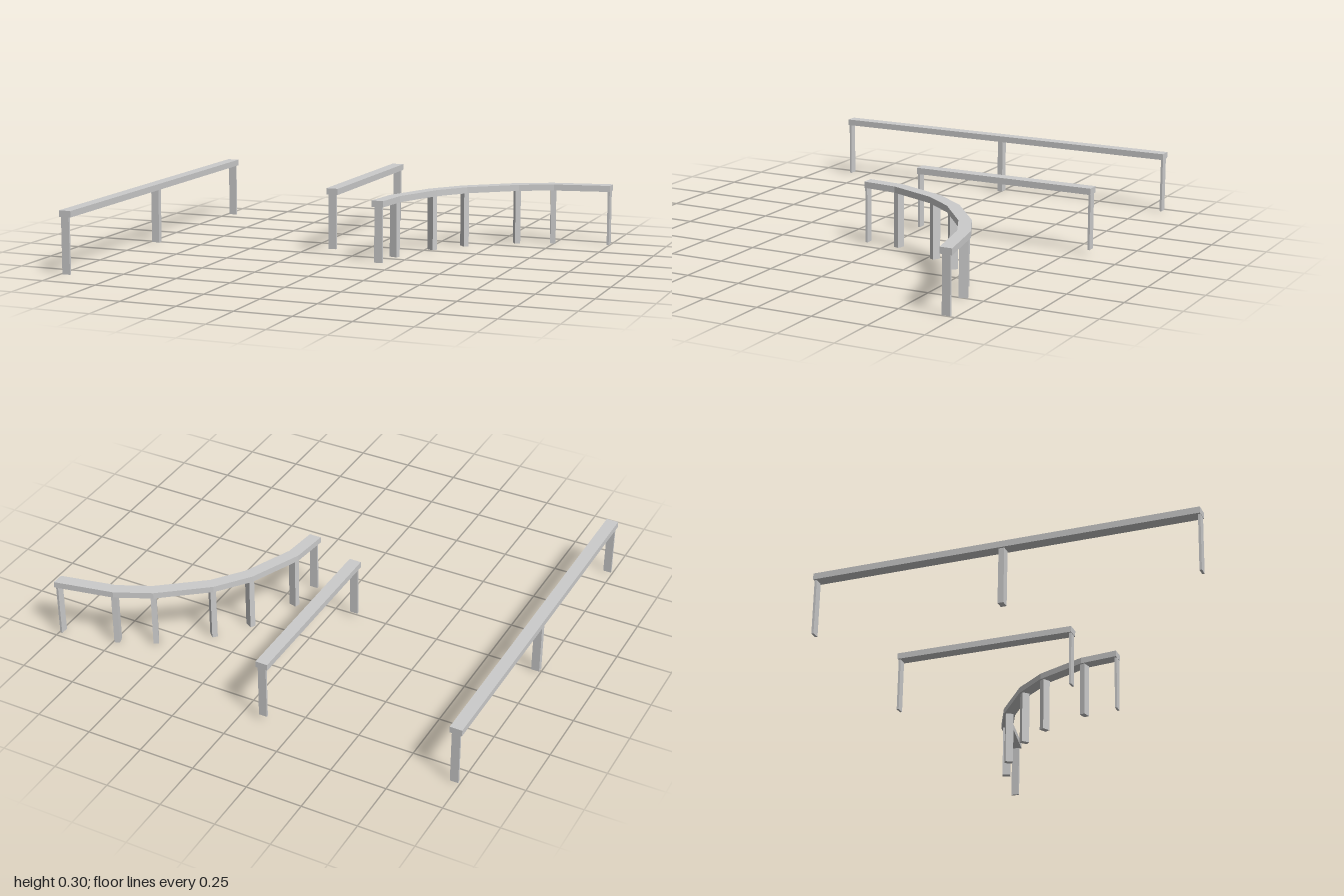
import * as THREE from 'three';

const material = new THREE.MeshStandardMaterial({ color: 0xcccccc, flatShading: true });
const POST_WIDTH = 0.037, END_DEPTH = 0.01, MID_DEPTH = 0.025;
const RAIL_WIDTH = 0.055, RAIL_HEIGHT = 0.028;

// Upright post from y0 to y1; angle turns its depth axis to follow the rail
function post(parent, name, x, z, y0, y1, depth, angle = 0) {
  const mesh = new THREE.Mesh(new THREE.BoxGeometry(POST_WIDTH, y1 - y0, depth), material);
  mesh.name = name;
  mesh.position.set(x, (y0 + y1) / 2, z);
  mesh.rotation.y = angle;
  parent.add(mesh);
}

// Straight handrail along z with thin posts at its ends
function straightRail(name, x, zBack, zFront, yBase, yRail, postsZ) {
  const group = new THREE.Group();
  group.name = name;
  const rail = new THREE.Mesh(new THREE.BoxGeometry(RAIL_WIDTH, RAIL_HEIGHT, zFront - zBack), material);
  rail.name = 'topRail';
  rail.position.set(x, yRail + RAIL_HEIGHT / 2, (zBack + zFront) / 2);
  group.add(rail);
  postsZ.forEach(([z, depth]) => post(group, 'post', x, z, yBase, yRail, depth));
  return group;
}

// Curved handrail: mitred segments with a post at every joint
function curvedRail() {
  const group = new THREE.Group();
  group.name = 'curvedRail';
  const yRail = 0.248;
  const path = [
    [0.163, 0.112], [0.182, -0.056], [0.278, -0.284], [0.385, -0.425],
    [0.586, -0.583], [0.738, -0.655], [0.998, -0.708],
  ].map(([x, z]) => new THREE.Vector2(x, z));
  const last = path.length - 1;

  // Direction of travel and mitre offset at each point; ends are cut square to the axes
  const joints = path.map((p, i) => {
    const a = path[Math.max(i - 1, 0)], b = path[Math.min(i + 1, last)];
    const before = p.clone().sub(a).normalize(), after = b.clone().sub(p).normalize();
    const dir = before.clone().add(after).normalize();
    const side = new THREE.Vector2(-dir.y, dir.x);
    const cos = i === 0 || i === last ? 1 : dir.dot(after);
    if (i === 0) side.set(1, 0);
    if (i === last) side.set(0, 1);
    return { p, dir, side: side.multiplyScalar(RAIL_WIDTH / 2 / cos) };
  });

  const left = joints.map(({ p, side }) => p.clone().sub(side));
  const right = joints.map(({ p, side }) => p.clone().add(side));
  const outline = [...left, ...right.reverse()].map((p) => new THREE.Vector2(p.x, -p.y));
  const geometry = new THREE.ExtrudeGeometry(new THREE.Shape(outline), { depth: RAIL_HEIGHT, bevelEnabled: false });
  geometry.rotateX(-Math.PI / 2);
  const rail = new THREE.Mesh(geometry, material);
  rail.name = 'topRail';
  rail.position.y = yRail;
  group.add(rail);

  // Joint posts turn with the rail; end posts are thin and square to the axes
  joints.forEach(({ p, dir }, i) => {
    if (i === 0) post(group, 'endPost', p.x + 0.004, p.y - 0.006, 0, yRail, END_DEPTH);
    else if (i === last) post(group, 'endPost', p.x - 0.008, p.y, 0, yRail, END_DEPTH, Math.PI / 2);
    else post(group, 'jointPost', p.x, p.y, 0, yRail, MID_DEPTH, Math.atan2(dir.x, dir.y));
  });
  return group;
}

export function createModel() {
  const model = new THREE.Group();
  model.name = 'handrails';
  model.add(
    straightRail('longRail', -0.973, -0.838, 0.849, 0, 0.248,
      [[0.843, END_DEPTH], [0.006, MID_DEPTH], [-0.83, END_DEPTH]]),
    straightRail('shortRail', -0.1, -0.849, -0.008, 0.023, 0.27,
      [[-0.015, END_DEPTH], [-0.842, END_DEPTH]]),
    curvedRail(),
  );
  return model;
}
